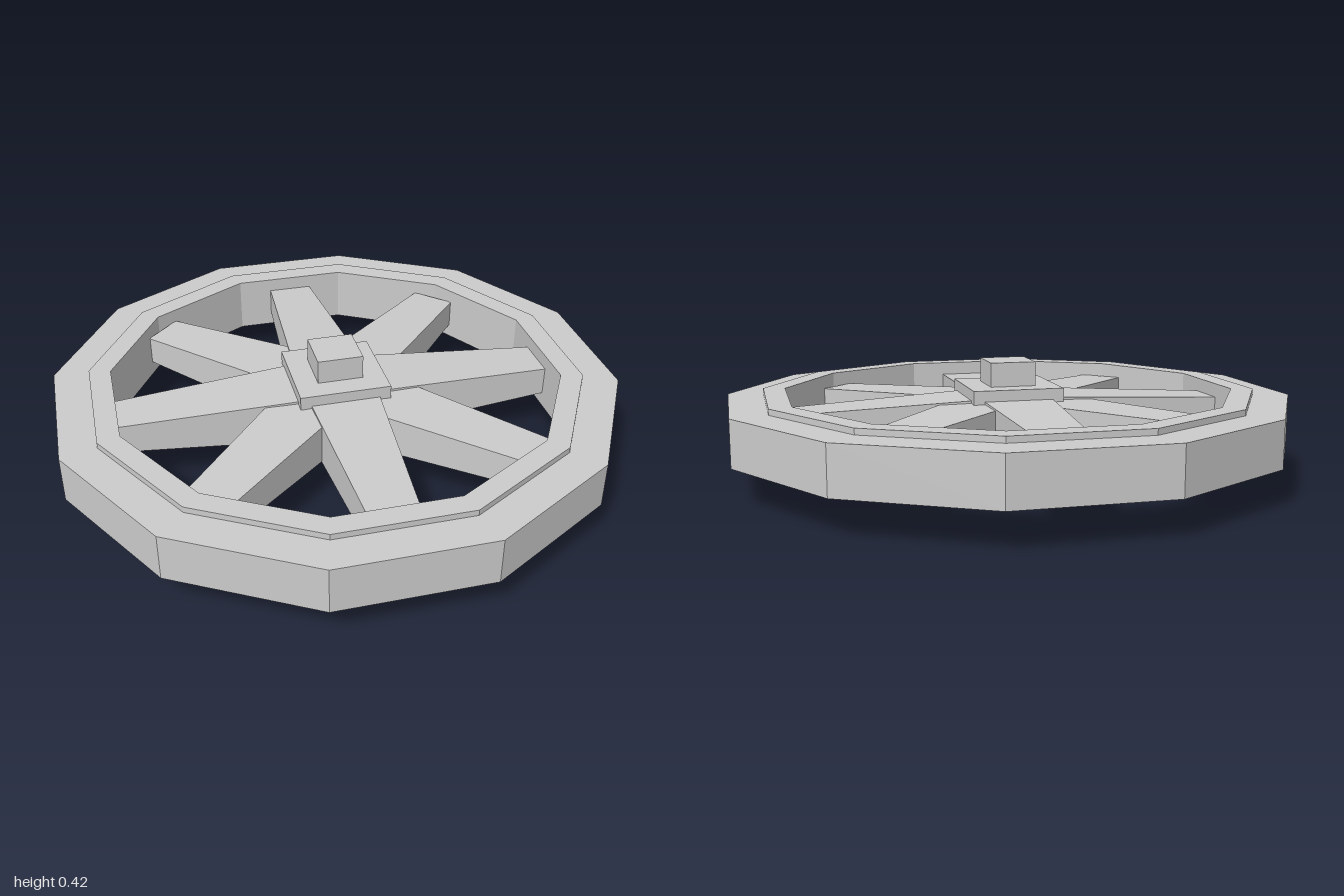
import * as THREE from 'three';

const MID = 0.211; // height of the wheel's middle plane
const material = new THREE.MeshStandardMaterial({ color: 0xcccccc, flatShading: true });

function addMesh(parent, name, geometry) {
  const mesh = new THREE.Mesh(geometry, material);
  mesh.name = name;
  parent.add(mesh);
  return mesh;
}

// Twelve-sided rim: a wide outer band with a taller inner band, r measured to the flats
function rimGeometry() {
  const outer = 1, step = 0.873, inner = 0.795, low = 0.083, high = 0.104;
  const profile = [
    [outer, -low], [outer, low], [step, low], [step, high],
    [inner, high], [inner, -high], [step, -high], [step, -low], [outer, -low],
  ].map(([r, y]) => new THREE.Vector2(r / Math.cos(Math.PI / 12), y));
  return new THREE.LatheGeometry(profile, 12, Math.PI / 12);
}

// Spoke along +x, tapering in width and thickness from hub to rim
function spokeGeometry(hubThickness) {
  const start = 0.05, end = 0.805;
  const geometry = new THREE.BoxGeometry(end - start, 1, 1);
  geometry.translate((start + end) / 2, 0, 0);
  const p = geometry.attributes.position;
  for (let i = 0; i < p.count; i++) {
    const atHub = p.getX(i) < 0.4;
    p.setY(i, p.getY(i) * (atHub ? hubThickness : 0.105));
    p.setZ(i, p.getZ(i) * (atHub ? 0.265 : 0.168));
  }
  geometry.computeVertexNormals();
  return geometry;
}

export function createModel() {
  const model = new THREE.Group();
  model.name = 'wheel';

  const wheel = new THREE.Group();
  wheel.name = 'wheelBody';
  wheel.position.y = MID;
  model.add(wheel);

  addMesh(wheel, 'rim', rimGeometry());

  // Eight spokes; the diagonal ones are slightly thinner at the hub
  const straight = spokeGeometry(0.18);
  const diagonal = spokeGeometry(0.162);
  for (let i = 0; i < 8; i++) {
    const spoke = addMesh(wheel, 'spoke' + (i + 1), i % 2 ? diagonal : straight);
    spoke.rotation.y = (i * Math.PI) / 4;
  }

  // Square hub block with the axle running through it
  addMesh(wheel, 'hub', new THREE.BoxGeometry(0.33, 0.247, 0.33));
  addMesh(wheel, 'axle', new THREE.BoxGeometry(0.166, MID * 2, 0.166));

  return model;
}
